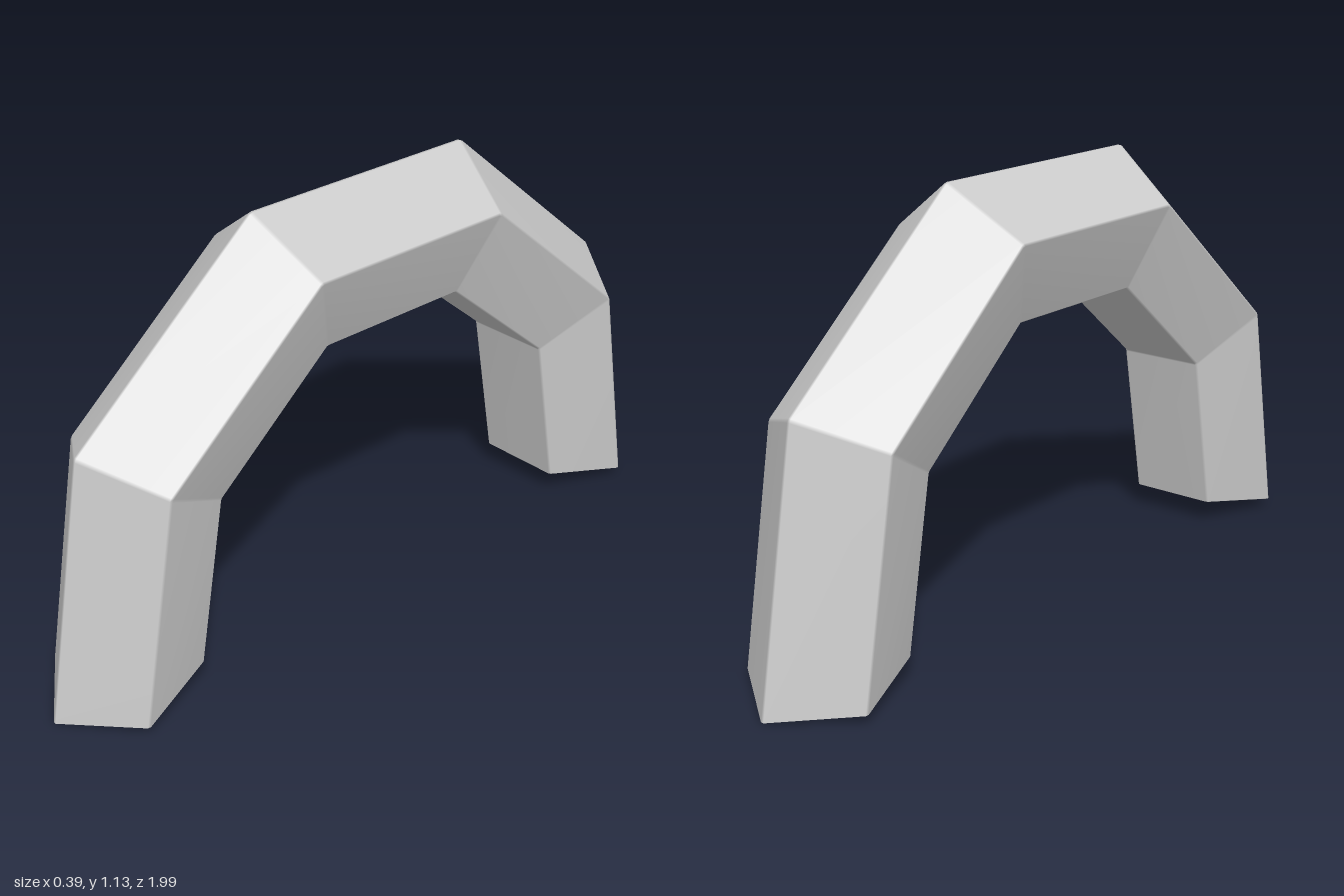
import * as THREE from 'three';

const R = 0.81, r = 0.205, SIDES = 5, SEGMENTS = 5, CENTRE_Y = 0.178;

// Pentagonal tube section (x across, y outward), each corner cut to a narrow bevel
function makeSection() {
  const corner = (k) => {
    const a = (k / SIDES) * Math.PI * 2;
    return new THREE.Vector2(r * Math.sin(a), r * Math.cos(a));
  };
  const pts = [];
  for (let k = 0; k < SIDES; k++) {
    pts.push(corner(k).lerp(corner(k - 1), 0.02), corner(k).lerp(corner(k + 1), 0.02));
  }
  return pts;
}

// Rings along the arch: two close rings at every joint, and a small inward lip at each foot
function makeRings() {
  const dir = (i) => {
    const a = THREE.MathUtils.degToRad(-10 + 40 * i);
    return new THREE.Vector2(Math.cos(a), Math.sin(a));
  };
  const rings = [{ d: dir(0), s: 0.975 }];
  for (let i = 0; i < SEGMENTS; i++) {
    const end = (j) => (j === 0 || j === SEGMENTS ? 0.004 : 0.008);
    rings.push({ d: dir(i).lerp(dir(i + 1), end(i)), s: 1 });
    rings.push({ d: dir(i + 1).lerp(dir(i), end(i + 1)), s: 1 });
  }
  rings.push({ d: dir(SEGMENTS), s: 0.975 });
  return rings;
}

export function createModel() {
  const section = makeSection(), rings = makeRings();
  const n = section.length, positions = [], index = [];
  for (const { d, s } of rings) {
    for (const p of section) {
      const rho = R + p.y * s;
      positions.push(p.x * s, CENTRE_Y + rho * d.y, rho * d.x);
    }
  }
  for (let i = 0; i < rings.length - 1; i++) {
    for (let j = 0; j < n; j++) {
      const a = i * n + j, b = i * n + ((j + 1) % n);
      index.push(a, b, b + n, a, b + n, a + n);
    }
  }
  const geometry = new THREE.BufferGeometry();
  geometry.setAttribute('position', new THREE.Float32BufferAttribute(positions, 3));
  geometry.setIndex(index);
  geometry.computeVertexNormals();

  // Hollow arch, open at both feet
  const arch = new THREE.Mesh(geometry, new THREE.MeshStandardMaterial({ color: 0xcccccc, side: THREE.DoubleSide }));
  arch.name = 'archTube';
  const group = new THREE.Group();
  group.name = 'arch';
  group.add(arch);
  return group;
}
